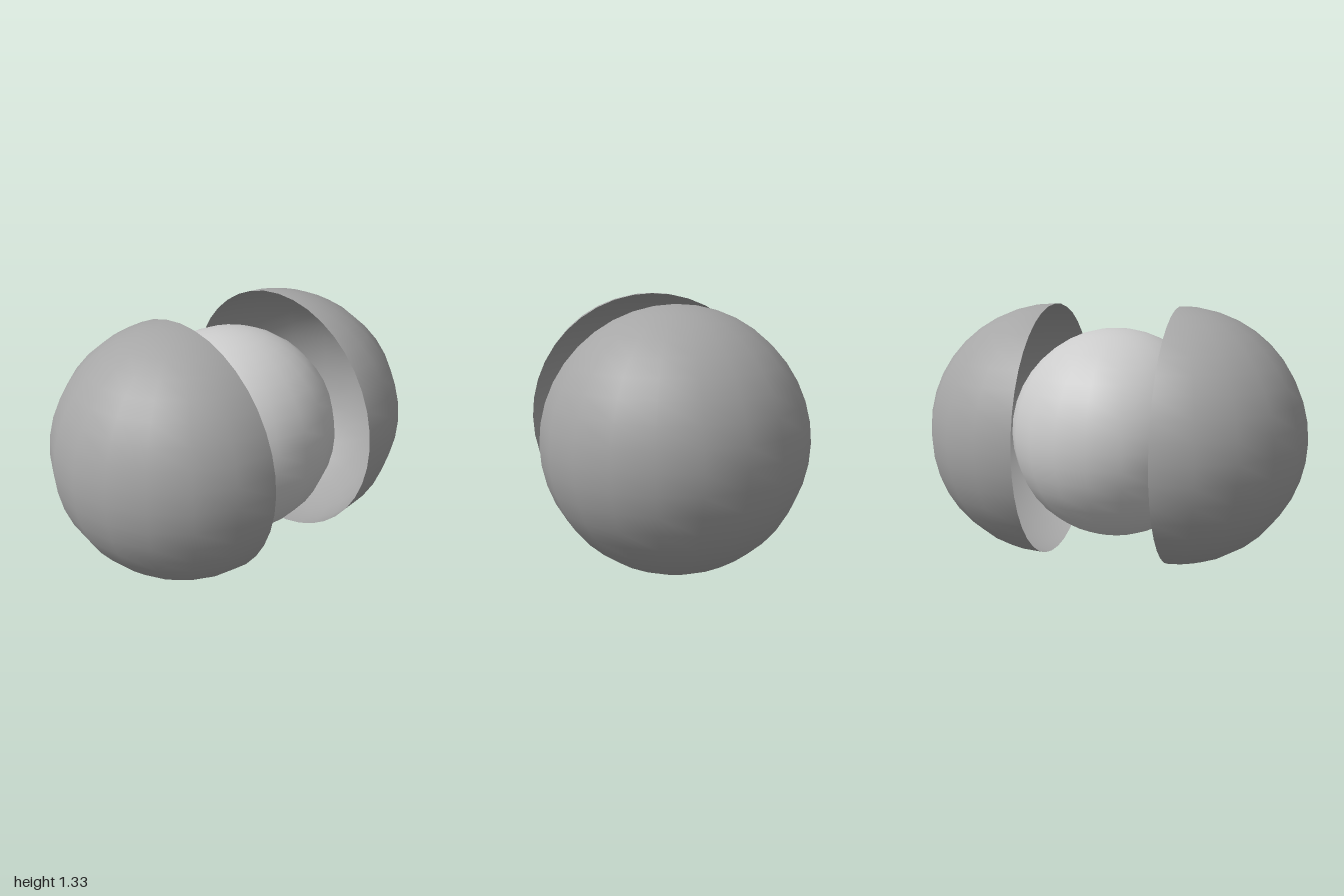
import * as THREE from 'three';

const R = 2 / 3;      // shell radius
const CORE = 0.547;   // core radius
const OFFSET = 1 / 3; // distance of each shell's rim from the middle

export function createModel() {
  const group = new THREE.Group();

  const coreMaterial = new THREE.MeshStandardMaterial({ color: 0xcccccc });
  const shellMaterial = new THREE.MeshStandardMaterial({ color: 0xa6a6a6, side: THREE.DoubleSide });

  // Full ball between the two shells
  const core = new THREE.Mesh(new THREE.SphereGeometry(CORE, 20, 20), coreMaterial);
  core.name = 'coreBall';
  core.position.y = R;
  group.add(core);

  // Open half shells, hollow sides facing each other
  for (const side of [1, -1]) {
    const shell = new THREE.Mesh(
      new THREE.SphereGeometry(R, 10, 20, side * Math.PI / 2, Math.PI),
      shellMaterial
    );
    shell.name = side > 0 ? 'leftShell' : 'rightShell';
    shell.position.set(side * OFFSET, R, 0);
    group.add(shell);
  }

  return group;
}
